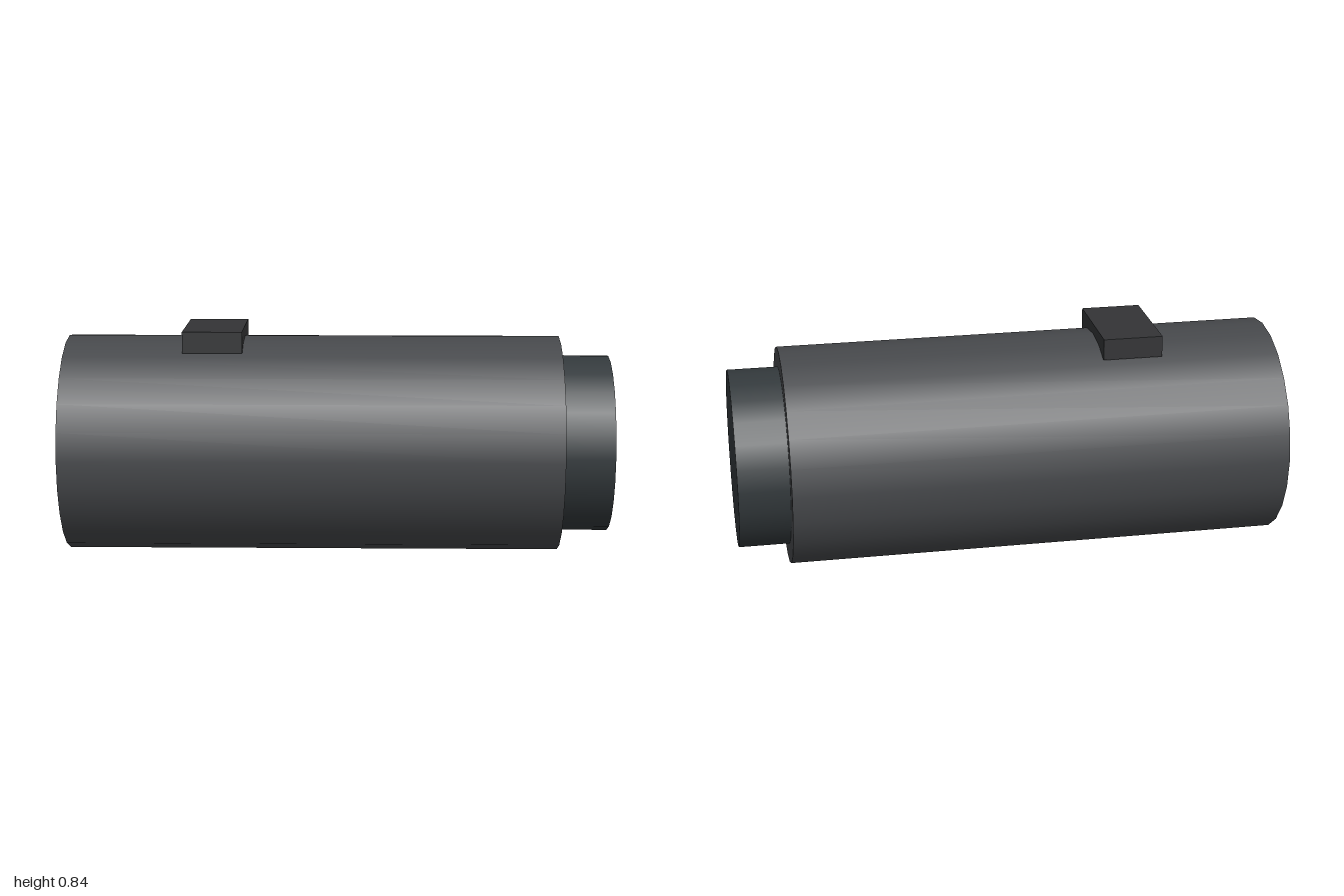
import * as THREE from 'three';

const AXIS_Y = 0.4;

// Capped 24-sided cylinder lying along x, from x0 to x1
function barrel(name, radius, x0, x1, color) {
  const geometry = new THREE.CylinderGeometry(radius, radius, x1 - x0, 24);
  geometry.rotateZ(-Math.PI / 2);
  const mesh = new THREE.Mesh(geometry, new THREE.MeshStandardMaterial({ color }));
  mesh.name = name;
  mesh.position.set((x0 + x1) / 2, AXIS_Y, 0);
  return mesh;
}

export function createModel() {
  const group = new THREE.Group();
  group.name = 'cylinderUnit';

  // Main body and the narrower end cap
  group.add(barrel('body', 0.4, -1, 0.815, 0x46484b));
  group.add(barrel('endCap', 0.327, 0.815, 1, 0x33393c));

  // Flat block sitting across the top of the body
  const block = new THREE.Mesh(
    new THREE.BoxGeometry(0.218, 0.078, 0.362),
    new THREE.MeshStandardMaterial({ color: 0x333436 })
  );
  block.name = 'topBlock';
  block.position.set(-0.456, 0.798, 0);
  group.add(block);

  return group;
}
